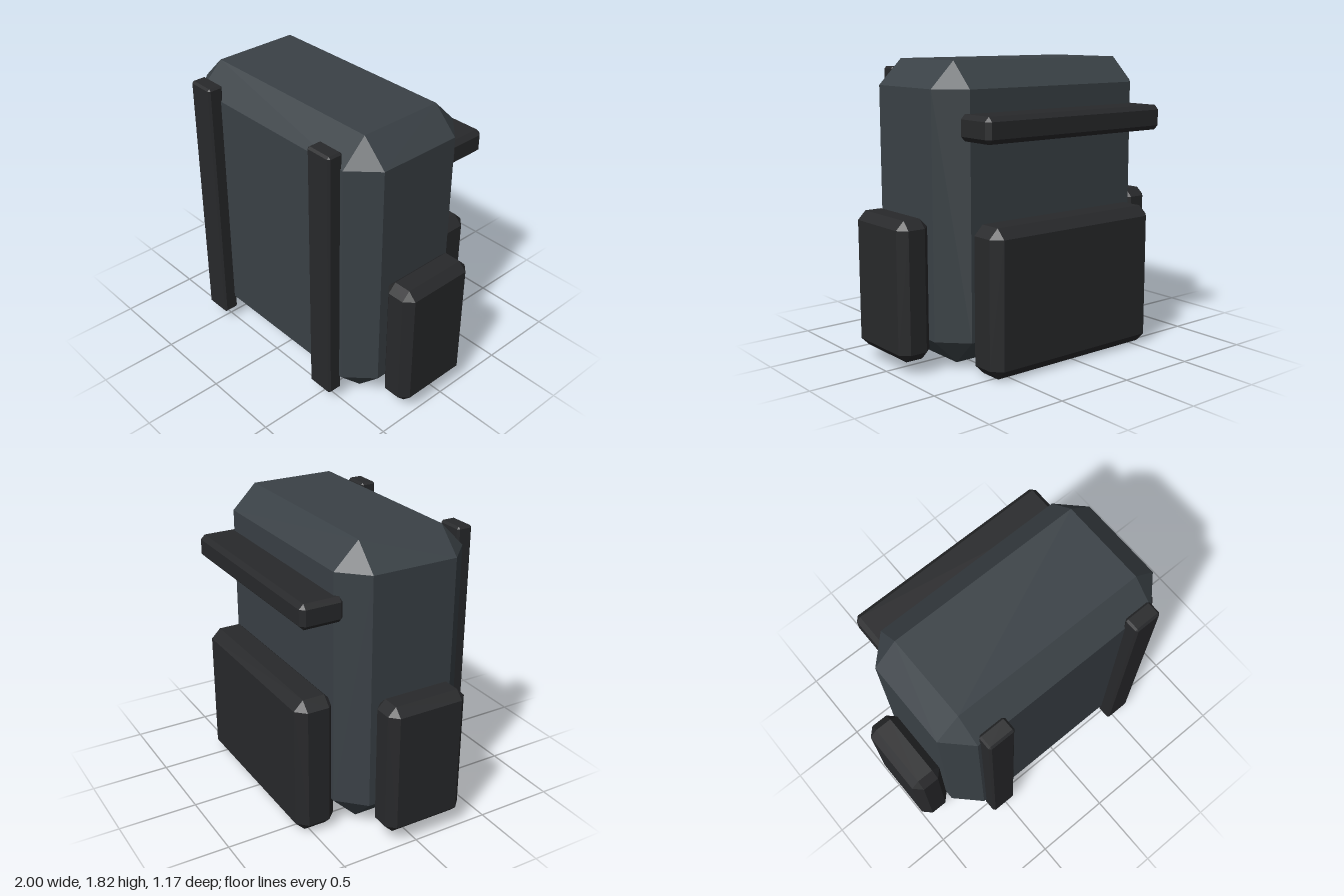
import * as THREE from 'three';
import { ConvexGeometry } from 'three/addons/geometries/ConvexGeometry.js';

const shell = new THREE.MeshStandardMaterial({ color: 0x3a4146, flatShading: true });
const trim = new THREE.MeshStandardMaterial({ color: 0x28292b, flatShading: true });

// Box between two corners with every edge cut at 45 degrees by c
function chamferBox(name, min, max, c, material) {
  const points = [];
  const size = max.map((v, i) => v - min[i]);
  for (const sx of [-1, 1]) for (const sy of [-1, 1]) for (const sz of [-1, 1]) {
    for (let axis = 0; axis < 3; axis++) {
      // each corner becomes three points, one on each face
      const p = [sx, sy, sz].map((s, i) => s * (size[i] / 2 - (i === axis ? 0 : c)));
      points.push(new THREE.Vector3(...p));
    }
  }
  const mesh = new THREE.Mesh(new ConvexGeometry(points), material);
  mesh.position.set(...min.map((v, i) => (v + max[i]) / 2));
  mesh.name = name;
  return mesh;
}

export function createModel() {
  const group = new THREE.Group();
  group.name = 'backpack';

  // Main compartment
  group.add(chamferBox('body', [-0.79, 0.03, -0.36], [0.79, 1.82, 0.505], 0.157, shell));

  // Rear pocket and the bar above it
  group.add(chamferBox('backPocket', [-0.63, 0, -0.325], [0.63, 0.893, -0.585], 0.06, trim));
  group.children.pop();
  group.add(chamferBox('backPocket', [-0.63, 0, -0.585], [0.63, 0.893, -0.325], 0.06, trim));
  group.add(chamferBox('backBar', [-0.682, 1.373, -0.587], [0.682, 1.527, -0.31], 0.028, trim));

  // Side pockets and shoulder straps, mirrored
  for (const [side, s] of [['left', 1], ['right', -1]]) {
    const pocket = chamferBox(side + 'Pocket', [0.787, 0.083, -0.193], [1, 0.923, 0.333], 0.052, trim);
    const strap = chamferBox(side + 'Strap', [0.435, 0.083, 0.485], [0.613, 1.763, 0.587], 0.013, trim);
    for (const part of [pocket, strap]) {
      part.position.x *= s;
      group.add(part);
    }
  }
  return group;
}
